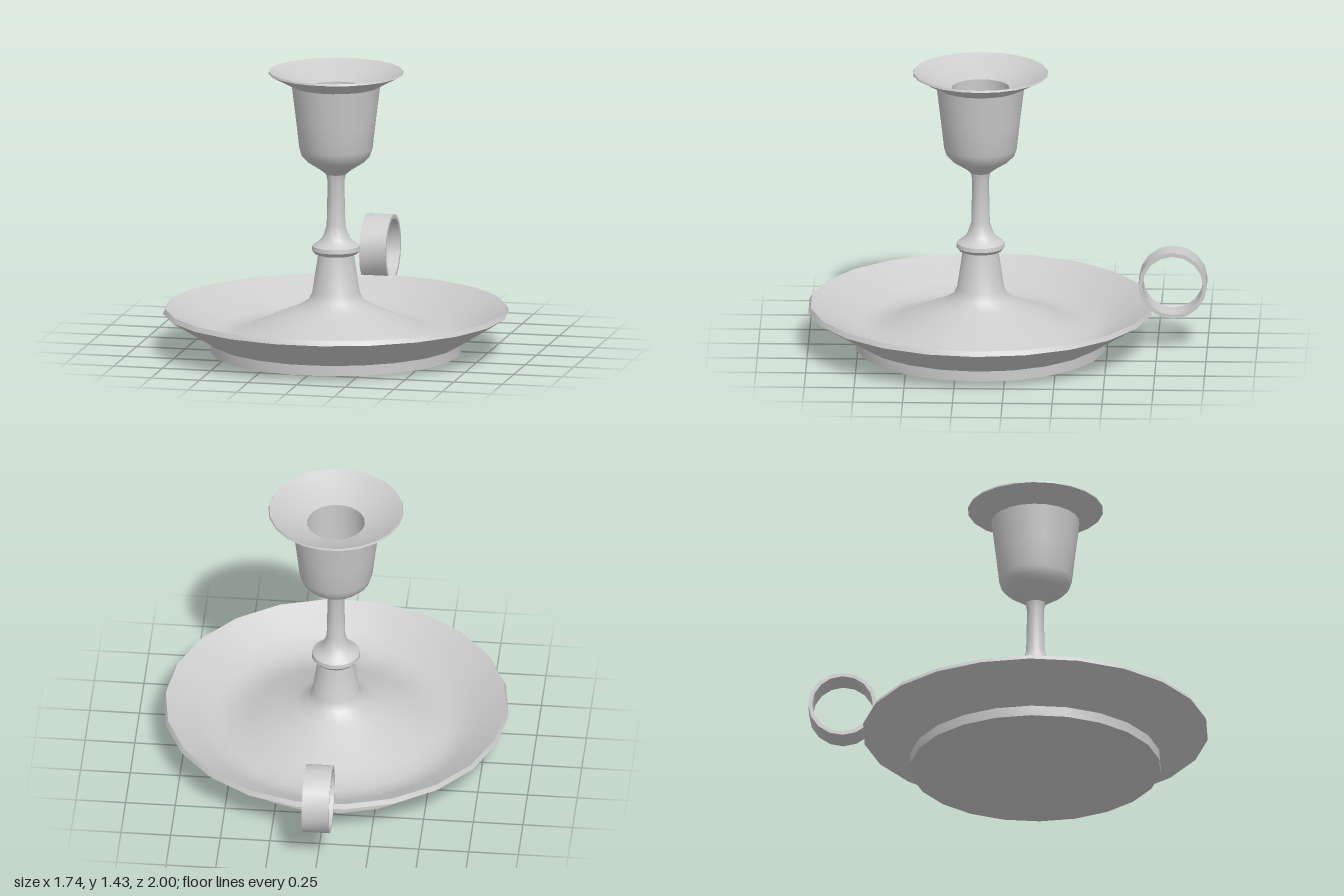
import * as THREE from 'three';
import { toCreasedNormals } from 'three/addons/utils/BufferGeometryUtils.js';

const material = new THREE.MeshStandardMaterial({ color: 0xcccccc });
const AXIS_Z = 0.137;

// Turned part from [radius, height] pairs, running counter-clockwise up the outside
function turned(name, profile, sides, phiStart = 0) {
  const points = profile.map(([r, y]) => new THREE.Vector2(r, y));
  const geometry = new THREE.LatheGeometry(points, sides, phiStart);
  const mesh = new THREE.Mesh(toCreasedNormals(geometry, 0.62), material);
  mesh.name = name;
  return mesh;
}

export function createModel() {
  const group = new THREE.Group();
  group.name = 'chamberCandlestick';

  // Foot and dished drip tray, rising in the middle to meet the stem
  const tray = [
    [0, 0], [0.63, 0], [0.63, 0.053], [0.869, 0.202], [0.857, 0.226],
    [0.7, 0.135], [0.63, 0.1], [0.57, 0.09], [0.5, 0.1], [0.42, 0.13],
    [0.3, 0.185], [0.2, 0.226],
  ];
  // Tapered stem with collar
  const stem = [
    [0.14, 0.264], [0.119, 0.305], [0.09, 0.497], [0.108, 0.503],
    [0.122, 0.52], [0.119, 0.541], [0.095, 0.558], [0.072, 0.578],
    [0.058, 0.61], [0.047, 0.645], [0.042, 0.87],
  ];
  // Candle cup with flared lip and bored socket
  const cup = [
    [0.05, 0.908], [0.08, 0.932], [0.145, 0.974], [0.172, 1.002],
    [0.184, 1.04], [0.2, 1.18], [0.222, 1.36], [0.34, 1.424], [0.336, 1.434],
    [0.23, 1.378], [0.145, 1.35], [0.145, 1.1], [0, 1.1],
  ];
  const body = turned('candlestickBody', [...tray, ...stem, ...cup], 22, Math.PI / 2);
  body.position.z = AXIS_Z;
  group.add(body);

  // Finger ring standing on the back of the rim
  const w = 0.068;
  const ring = turned('fingerRing',
    [[0.152, -w], [0.172, -w], [0.172, w], [0.152, w], [0.152, -w]], 16);
  ring.rotation.z = Math.PI / 2;
  ring.position.set(0, 0.34, -0.828);
  group.add(ring);

  return group;
}
